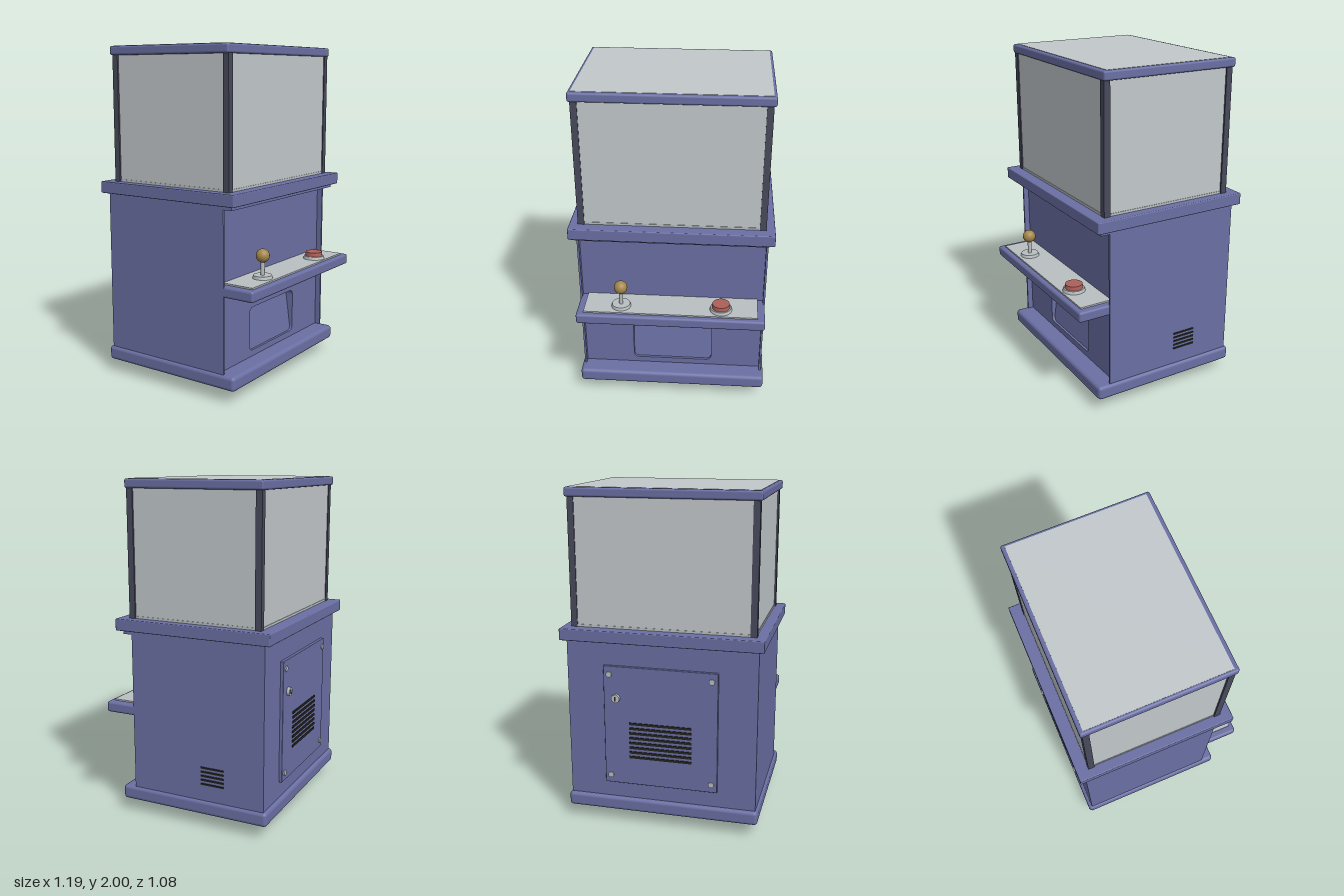
import * as THREE from 'three';
import { RoundedBoxGeometry } from 'three/addons/geometries/RoundedBoxGeometry.js';

const material = (name, color) => {
  const m = new THREE.MeshStandardMaterial({ color });
  m.name = name;
  return m;
};

export function createModel() {
  const group = new THREE.Group();
  const purple = material('cabinet purple', 0x6a6fa3);
  const pane = material('pane grey', 0xc2c8cb);
  const steel = material('light steel', 0xb9bfc2);
  const post = material('post slate', 0x484a5c);
  const rubber = material('foot rubber', 0x4a4b43);
  const dark = material('vent black', 0x24241f);
  const gold = material('ball gold', 0xa5874a);
  const red = material('button red', 0xad6059);

  const add = (name, geometry, mat, x = 0, y = 0, z = 0) => {
    const mesh = new THREE.Mesh(geometry, mat);
    mesh.name = name;
    mesh.position.set(x, y, z);
    group.add(mesh);
    return mesh;
  };
  // Box given by its limits, with optional rounded edges
  const box = (name, mat, [x0, x1], [y0, y1], [z0, z1], r = 0) => {
    const size = [x1 - x0, y1 - y0, z1 - z0];
    const geometry = r ? new RoundedBoxGeometry(...size, 3, r) : new THREE.BoxGeometry(...size);
    return add(name, geometry, mat, (x0 + x1) / 2, (y0 + y1) / 2, (z0 + z1) / 2);
  };
  const disc = (name, mat, r, y0, y1, x, z, rTop = r) =>
    add(name, new THREE.CylinderGeometry(rTop, r, y1 - y0, 32), mat, x, (y0 + y1) / 2, z);
  const backDisc = (name, mat, r, depth, x, y, z) => {
    const mesh = add(name, new THREE.CylinderGeometry(r, r, depth, 24), mat, x, y, z);
    mesh.rotation.x = Math.PI / 2;
  };

  // Feet and plinth
  for (const x of [-0.352, 0.352])
    for (const z of [-0.312, 0.218]) disc('foot', rubber, 0.043, 0, 0.09, x, z);
  box('plinth', purple, [-0.58, 0.58], [0.077, 0.163], [-0.522, 0.425], 0.022);

  // Cabinet body: core, side walls and a set-back front panel with the prize opening
  box('body', purple, [-0.555, 0.555], [0.15, 1.13], [-0.5, 0.25]);
  for (const s of [-1, 1])
    box('sideWall', purple, [s * 0.559 - 0.006, s * 0.559 + 0.006], [0.15, 1.13], [-0.5, 0.345]);
  const panel = new THREE.Shape([[-0.555, 0.15], [0.555, 0.15], [0.555, 1.13], [-0.555, 1.13]]
    .map(p => new THREE.Vector2(...p)));
  const [l, r, b, t, c] = [-0.247, 0.247, 0.2, 0.468, 0.035];
  const hole = new THREE.Path();
  hole.moveTo(l + c, b).lineTo(r - c, b).quadraticCurveTo(r, b, r, b + c);
  hole.lineTo(r, t - c).quadraticCurveTo(r, t, r - c, t);
  hole.lineTo(l + c, t).quadraticCurveTo(l, t, l, t - c);
  hole.lineTo(l, b + c).quadraticCurveTo(l, b, l + c, b);
  panel.holes.push(hole);
  add('frontPanel', new THREE.ExtrudeGeometry(panel, { depth: 0.06, bevelEnabled: false, curveSegments: 8 }),
    purple, 0, 0, 0.25);
  const flap = add('prizeFlap', new THREE.BoxGeometry(0.494, 0.275, 0.006), purple, 0, 0.334, 0.273);
  flap.rotation.x = -0.14;

  // Collar and ledge below the glass case
  box('collar', purple, [-0.565, 0.565], [1.107, 1.135], [-0.5, 0.4]);
  box('ledge', purple, [-0.597, 0.597], [1.13, 1.2], [-0.54, 0.435], 0.006);

  // Glass case with corner posts and lid
  box('glassCase', pane, [-0.535, 0.535], [1.19, 1.95], [-0.462, 0.362]);
  box('glassSill', steel, [-0.538, 0.538], [1.2, 1.214], [-0.465, 0.365]);
  for (const x of [-0.526, 0.526])
    for (const z of [-0.449, 0.349])
      box('cornerPost', post, [x - 0.019, x + 0.019], [1.2, 1.95], [z - 0.019, z + 0.019]);
  box('lid', purple, [-0.56, 0.56], [1.945, 1.998], [-0.48, 0.374], 0.012);
  box('lidPane', pane, [-0.543, 0.543], [1.994, 2], [-0.458, 0.35]);

  // Control shelf
  box('controlShelf', purple, [-0.563, 0.563], [0.611, 0.675], [0.3, 0.538], 0.014);
  box('controlPlate', steel, [-0.52, 0.52], [0.67, 0.684], [0.31, 0.508]);
  const cz = 0.432;
  disc('stickBase', steel, 0.06, 0.68, 0.702, -0.3, cz, 0.054);
  disc('stickShaft', steel, 0.012, 0.7, 0.79, -0.3, cz);
  add('stickBall', new THREE.SphereGeometry(0.04, 32, 20), gold, -0.3, 0.815, cz);
  disc('buttonRing', steel, 0.068, 0.68, 0.702, 0.3, cz, 0.062);
  disc('button', red, 0.054, 0.7, 0.727, 0.3, cz, 0.051);

  // Vent slots on the left side
  for (let i = 0; i < 5; i++) {
    const y = 0.265 + i * 0.025;
    box('sideVent', dark, [0.562, 0.57], [y - 0.005, y + 0.005], [-0.25, -0.105]);
  }

  // Service door on the back with screws, lock and vents
  box('serviceDoor', purple, [-0.34, 0.34], [0.26, 0.99], [-0.519, -0.495], 0.004);
  for (const x of [-0.305, 0.305])
    for (const y of [0.31, 0.94]) backDisc('doorScrew', steel, 0.017, 0.012, x, y, -0.521);
  backDisc('doorLock', steel, 0.025, 0.02, 0.265, 0.797, -0.526);
  box('keyhole', dark, [0.261, 0.269], [0.784, 0.81], [-0.539, -0.534]);
  for (let i = 0; i < 8; i++) {
    const y = 0.435 + i * 0.03;
    box('doorVent', dark, [-0.188, 0.188], [y - 0.007, y + 0.007], [-0.524, -0.517]);
  }
  return group;
}
